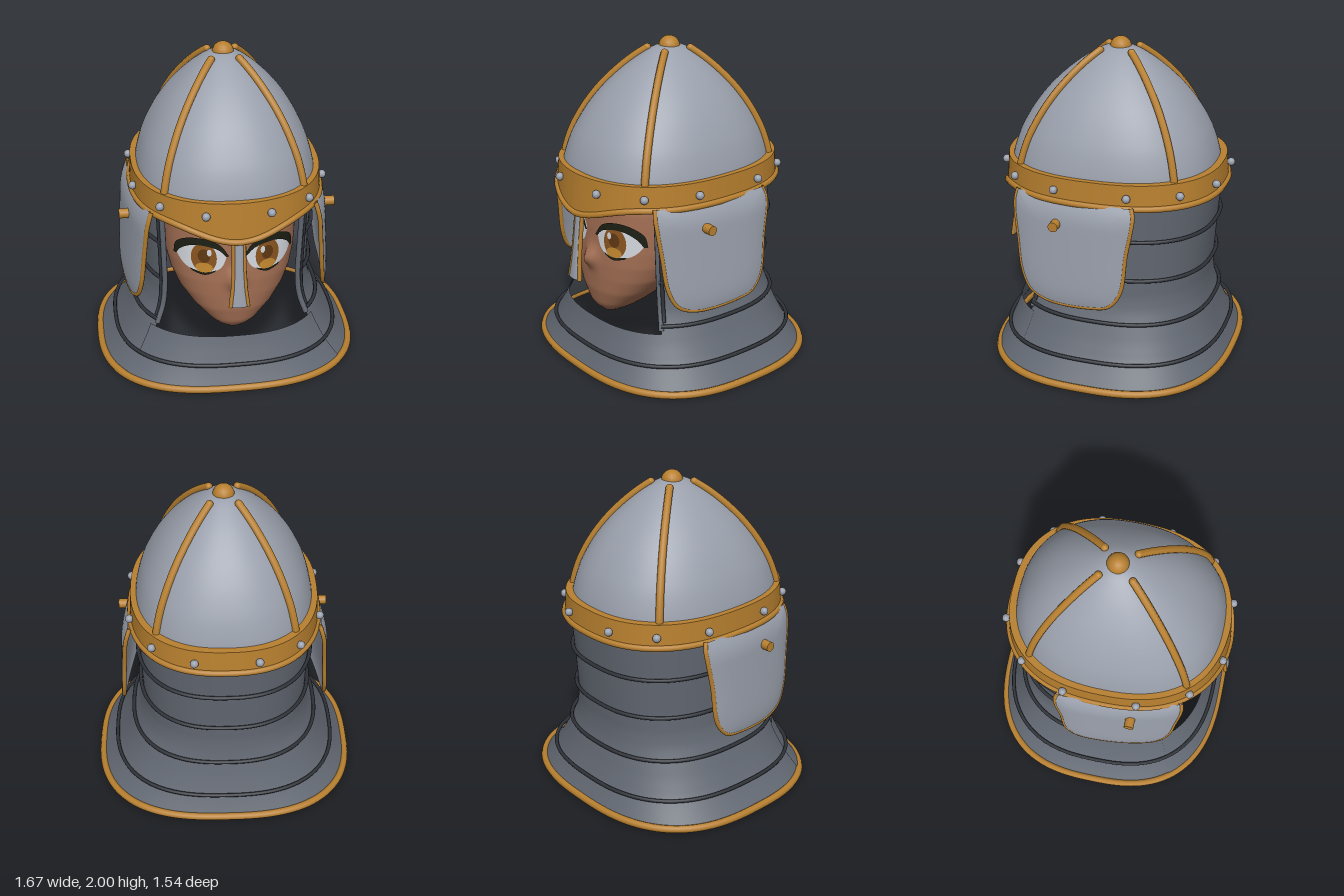
import * as THREE from 'three';
import { mergeVertices, toCreasedNormals } from 'three/addons/utils/BufferGeometryUtils.js';

const { lerp } = THREE.MathUtils;
const V = (x, y, z) => new THREE.Vector3(x, y, z);
const TAU = Math.PI * 2;

function paint(name, color) {
  const m = new THREE.MeshStandardMaterial({ color, side: THREE.DoubleSide });
  m.name = name;
  return m;
}

// Linear lookup in a table of rows [y, ...values], y ascending
function lookup(table, y) {
  let i = 0;
  while (i < table.length - 2 && y > table[i + 1][0]) i++;
  const [p, q] = [table[i], table[i + 1]];
  const k = THREE.MathUtils.clamp((y - p[0]) / (q[0] - p[0]), 0, 1);
  return p.map((v, j) => lerp(v, q[j], k));
}

// Smooth surface from a rule fn(u, v) -> Vector3, u and v in 0..1
function sheet(fn, nu, nv) {
  const pos = [], idx = [];
  for (let j = 0; j <= nv; j++)
    for (let i = 0; i <= nu; i++) pos.push(...fn(i / nu, j / nv).toArray());
  for (let j = 0; j < nv; j++)
    for (let i = 0; i < nu; i++) {
      const a = j * (nu + 1) + i, b = a + nu + 1;
      idx.push(a, b, a + 1, a + 1, b, b + 1);
    }
  let g = new THREE.BufferGeometry();
  g.setAttribute('position', new THREE.Float32BufferAttribute(pos, 3));
  g.setIndex(idx);
  g = mergeVertices(g, 1e-5);
  g.computeVertexNormals();
  return g;
}

// Point on a rounded-square loop
const spow = (v, e) => Math.sign(v) * Math.abs(v) ** e;
const loop = (a, b, n, t, y, zc) =>
  V(a * spow(Math.cos(t), 2 / n), y, zc + b * spow(Math.sin(t), 2 / n));

function tube(pts, r, closed = false, segs = 64) {
  return new THREE.TubeGeometry(new THREE.CatmullRomCurve3(pts, closed), segs, r, 8, closed);
}
const along = (n, fn) => Array.from({ length: n + 1 }, (_, i) => fn(i / n));

// Neck guard profile: y, half width, half depth, squareness
const GUARD = [[0.02, 0.81, 0.745, 2.65], [0.09, 0.745, 0.708, 2.6], [0.16, 0.69, 0.675, 2.55],
  [0.26, 0.632, 0.637, 2.5], [0.37, 0.58, 0.603, 2.45], [0.44, 0.55, 0.588, 2.4], [0.52, 0.532, 0.58, 2.4],
  [0.64, 0.525, 0.583, 2.4], [0.9, 0.533, 0.602, 2.4], [1.2, 0.545, 0.63, 2.4]];
function guardAt(t, y, off = 0) {
  const [, a, b, n] = lookup(GUARD, y);
  return loop(a + off, b + off, n, t, y, 0);
}

// Head profile: y, half width, front z, back z
const HEAD = [[0.325, 0, 0.49, 0.4], [0.335, 0.06, 0.53, 0.32], [0.37, 0.115, 0.567, 0.22],
  [0.4, 0.15, 0.587, 0.17], [0.5, 0.25, 0.607, 0], [0.6, 0.325, 0.61, -0.16], [0.7, 0.37, 0.61, -0.27],
  [0.8, 0.395, 0.603, -0.35], [0.9, 0.405, 0.6, -0.4], [1.05, 0.41, 0.59, -0.42],
  [1.2, 0.39, 0.55, -0.4], [1.3, 0.32, 0.46, -0.34], [1.36, 0, 0.1, 0]];
const nose = (x, y) =>
  0.063 * Math.exp(-((x / 0.045) ** 2) - ((y - 0.715) / (y > 0.715 ? 0.065 : 0.06)) ** 2);
function headAt(t, y) {
  const [, w, zf, zb] = lookup(HEAD, y);
  const zc = lerp(zb, zf, 0.65), front = Math.sin(t) > 0;
  const p = loop(w, front ? zf - zc : zc - zb, 2.3, t, y, zc);
  if (front) p.z += nose(p.x, y);
  return p;
}
function faceZ(x, y) {
  const [, w, zf, zb] = lookup(HEAD, y);
  const zc = lerp(zb, zf, 0.65), k = Math.min(1, Math.abs(x) / w);
  return zc + (zf - zc) * (1 - k ** 2.3) ** (1 / 2.3) + nose(x, y);
}

export function createModel() {
  const steel = paint('steel', 0x9aa0ac), gold = paint('gold', 0xb8802f);
  const mail = paint('dark steel', 0x626872), trim = paint('dark trim', 0x2e3238);
  const skin = paint('skin', 0xa26e53), white = paint('eye white', 0xd4d8de);
  const iris = paint('iris brown', 0x8a5520), glow = paint('iris amber', 0xc58a30);
  const pupil = paint('pupil brown', 0x5f3812), lash = paint('lash', 0x1c1f14);
  const root = new THREE.Group();
  root.name = 'helmetedHead';
  const add = (name, geo, mat) => {
    const m = new THREE.Mesh(geo, mat);
    m.name = name;
    root.add(m);
    return m;
  };
  const ball = (name, r, p, mat) =>
    add(name, new THREE.SphereGeometry(r, 16, 12), mat).position.copy(p);

  // Pointed dome
  const ogive = new THREE.SplineCurve([[0.55, 1.15], [0.541, 1.27], [0.508, 1.4], [0.467, 1.5], [0.413, 1.6],
    [0.343, 1.7], [0.253, 1.8], [0.163, 1.88], [0.075, 1.938], [0, 1.952]].map(p => new THREE.Vector2(...p)));
  const domeAt = (t, v, off = 0) => {
    const p = ogive.getPoint(v);
    return loop(p.x + off, p.x * 1.175 + off, lerp(2.4, 2.1, v), t, p.y + off * v, 0.035 - 0.025 * v);
  };
  add('dome', sheet((u, v) => domeAt(u * TAU, v), 96, 36), steel);

  // Four ribs and the finial
  for (let i = 0; i < 4; i++) {
    const path = along(16, k => domeAt(Math.PI / 4 + i * Math.PI / 2, lerp(0.08, 0.845, k), 0.008));
    add('rib', tube(path, 0.023, false, 32), gold);
    ball('ribEnd', 0.023, path[16], gold);
  }
  ball('finial', 0.066, V(0, 1.934, 0.01), gold);

  // Brow band with a dip at the front, and its lower bead
  const bandAt = (t, row) => {
    const p = loop([0.52, 0.575, 0.583][row], [0.61, 0.67, 0.682][row], 2.4, t, 1.275, 0.025);
    const ax = Math.abs(p.x);
    if (row && p.z > 0) p.z += 0.012 * Math.max(0, 1 - ax / 0.25);
    if (row === 2) {
      const dip = p.z > 0 && ax < 0.45 ? 0.5 + 0.5 * Math.cos(Math.PI * ax / 0.45) : 0;
      p.y = 1.13 - 0.095 * dip;
      p.z += 0.008 * dip;
    }
    return p;
  };
  add('browBand', toCreasedNormals(sheet((u, v) => bandAt(u * TAU, 2 - Math.round(v * 2)), 128, 2), 0.7), gold);
  add('browBead', tube(along(127, k => bandAt(k * TAU * 127 / 128, 2)), 0.019, true, 160), gold);

  // Rivets
  for (const s of [-1, 1])
    for (const [x, z] of [[0.19, 0.7], [0.44, 0.54], [0.578, 0.24], [0.578, -0.21], [0.44, -0.495], [0.19, -0.65]])
      ball('rivet', 0.025, V(s * x, 1.2, z), steel);

  // Neck guard: open at the face, closed by a low front collar
  const edge = 0.73;
  const sweep = u => lerp(Math.PI - edge, TAU + edge, u);
  add('neckGuard', sheet((u, v) => guardAt(sweep(u), lerp(0.02, 1.2, v)), 96, 40), mail);
  add('frontCollar', sheet((u, v) =>
    guardAt(lerp(0.65, Math.PI - 0.65, u), lerp(0.02, 0.325, v), 0.008), 48, 12), mail);
  for (const y of [0.37, 0.64, 0.9])
    add('guardRing', tube(along(96, u => guardAt(sweep(u), y, 0.012)), 0.012, false, 128), trim);
  add('guardRing', tube(along(127, k => guardAt(k * TAU * 127 / 128, 0.16, 0.02)), 0.012, true, 160), trim);
  add('guardRim', tube(along(127, k => {
    const p = guardAt(k * TAU * 127 / 128, 0.02);
    return p.setY(0.023);
  }), 0.023, true, 192), gold);
  // Rolled edges of the face opening, with dark piping outside
  for (const s of [0, 1]) {
    const side = t => s ? Math.PI - t : t;
    add('openingEdge', tube(along(20, k => guardAt(side(edge), lerp(0.34, 1.15, k))), 0.017), mail);
    add('openingPiping', tube(along(20, k => guardAt(side(edge - 0.04), lerp(0.39, 1.15, k), 0.012)), 0.012), trim);
  }

  // Nose guard with gold edges
  const nasal = y => ({ w: lookup([[0.61, 0.052], [0.72, 0.038], [0.85, 0.031], [1.06, 0.03]], y)[1],
    z: 0.69 + (1.05 - y) * 0.115 });
  add('noseGuard', toCreasedNormals(sheet((u, v) => {
    const y = lerp(1.06, 0.61, Math.min(1, v * 13 / 12)), { w, z } = nasal(y), k = v === 1 ? 0 : 1;
    return V(k * w * Math.cos(u * TAU), y, z + k * 0.018 * Math.sin(u * TAU));
  }, 24, 13), 0.9), steel);
  for (const s of [-1, 1])
    add('noseGuardEdge', tube(along(12, k => {
      const y = lerp(1.06, 0.607, k), { w, z } = nasal(y);
      return V(s * w, y, z);
    }), 0.013, false, 24), gold);

  // Cheek plates: pillowed shell flaring to the rear, gold edging and boss
  const outline = new THREE.CatmullRomCurve3([[0.5, 1.145], [0.51, 1.08], [0.485, 0.85], [0.455, 0.64],
    [0.4, 0.535], [0.29, 0.487], [0, 0.492], [-0.12, 0.52], [-0.19, 0.615], [-0.22, 0.85], [-0.255, 1.09],
    [-0.24, 1.145]].map(([z, y]) => V(0, y, z)), false, 'centripetal');
  const border = u => u < 0.8 ? outline.getPoint(u / 0.8)
    : V(0, 1.145, lerp(-0.24, 0.5, (u - 0.8) / 0.2));
  for (const s of [-1, 1]) {
    const bend = (p, off) => V(s * (0.61 + (1.1 - p.y) * 0.06 - 0.22 * (p.z + 0.15) ** 2
      - 0.025 * (Math.max(0, p.y - 1) / 0.14) ** 2 + off), p.y, p.z);
    const centre = V(0, 0.83, 0.13);
    for (const off of [0.01, -0.014])
      add('cheekPlate', sheet((u, v) =>
        bend(centre.clone().lerp(border(u), v), off + 0.016 * (1 - v ** 6)), 80, 14), steel);
    add('cheekPlateEdge', tube(along(60, k => bend(outline.getPoint(k), 0)), 0.014, false, 90), gold);
    const boss = add('cheekBoss', new THREE.CylinderGeometry(0.03, 0.03, 0.07, 20), gold);
    boss.rotation.z = Math.PI / 2;
    boss.position.set(s * 0.632, 1.0, 0.215);
  }

  // Head
  add('head', sheet((u, v) => headAt(u * TAU, lerp(0.325, 1.36, v)), 96, 72), skin);

  // Eyes and brows, laid on the face as thin layers
  for (const s of [-1, 1]) {
    const onFace = (x, y, lift) => V(s * x, y, faceZ(x, y) + lift);
    const disc = (name, x, y, rx, ry, lift, mat) => add(name, sheet((u, v) =>
      onFace(x + v * rx * Math.cos(u * TAU), y + v * ry * Math.sin(u * TAU), lift), 32, 6), mat);
    const spline = pts => new THREE.SplineCurve(pts.map(p => new THREE.Vector2(...p)));
    const strip = (name, top, low, lift) => {
      const [a, b] = [spline(top), spline(low)];
      add(name, sheet((u, v) => {
        const p = a.getPoint(u).lerp(b.getPoint(u), v);
        return onFace(p.x, p.y, lift);
      }, 24, 3), lash);
    };
    const rim = new THREE.CatmullRomCurve3([[0.06, 0.9], [0.072, 0.83], [0.1, 0.79], [0.18, 0.766], [0.28, 0.782],
      [0.328, 0.83], [0.345, 0.89], [0.3, 0.945], [0.2, 0.965], [0.11, 0.945]].map(([x, y]) => V(x, y, 0)), true);
    add('eyeWhite', sheet((u, v) => {
      const p = V(0.2, 0.87, 0).lerp(rim.getPoint(u), v);
      return onFace(p.x, p.y, 0.004);
    }, 48, 8), white);
    disc('iris', 0.19, 0.86, 0.074, 0.1, 0.007, iris);
    disc('pupil', 0.19, 0.875, 0.036, 0.045, 0.009, pupil);
    disc('irisGlow', 0.19, 0.797, 0.05, 0.033, 0.01, glow);
    disc('eyeGlint', 0.16, 0.9, 0.014, 0.022, 0.012, white);
    strip('upperLash', [[0.358, 0.85], [0.345, 0.93], [0.28, 0.98], [0.19, 0.987], [0.1, 0.955], [0.045, 0.88]],
      [[0.345, 0.85], [0.318, 0.9], [0.262, 0.937], [0.19, 0.943], [0.11, 0.922], [0.06, 0.875]], 0.012);
    strip('lowerLash', [[0.27, 0.782], [0.19, 0.767], [0.12, 0.785]], [[0.26, 0.768], [0.19, 0.75], [0.13, 0.773]], 0.01);
    strip('brow', [[0.3, 1.068], [0.21, 1.115], [0.12, 1.075]], [[0.29, 1.058], [0.21, 1.1], [0.13, 1.062]], 0.008);
  }
  return root;
}
